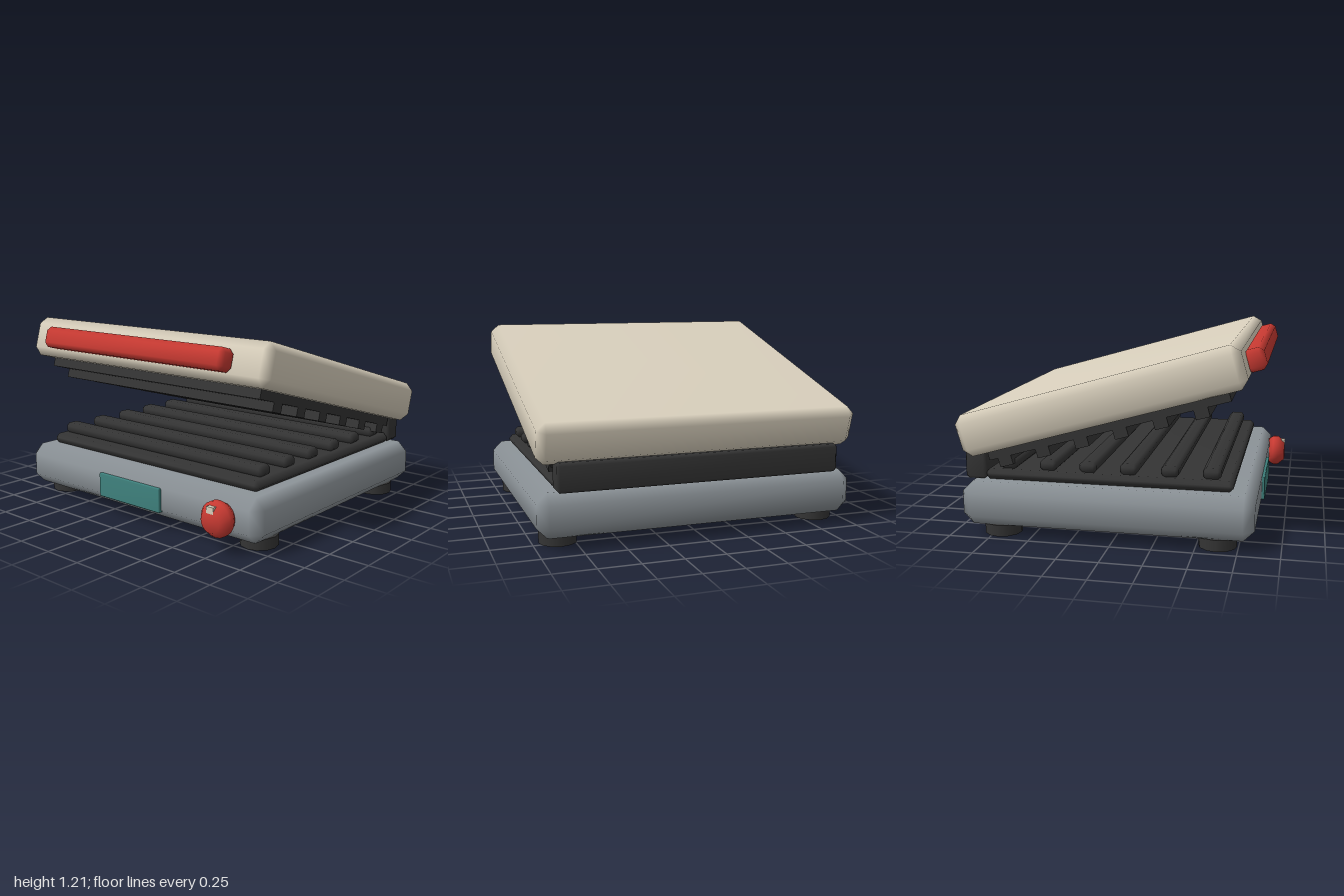
import * as THREE from 'three';
import { mergeVertices } from 'three/addons/utils/BufferGeometryUtils.js';
import { ConvexGeometry } from 'three/addons/geometries/ConvexGeometry.js';

const material = (name, color) => {
  const m = new THREE.MeshStandardMaterial({ color });
  m.name = name;
  return m;
};

// Box with single-step chamfers and soft, area-weighted normals
function chamferBox(w, h, d, c) {
  const points = [];
  for (const x of [-1, 1]) for (const y of [-1, 1]) for (const z of [-1, 1]) {
    for (const [a, b, e] of [[0, c, c], [c, 0, c], [c, c, 0]]) {
      points.push(new THREE.Vector3(x * (w / 2 - a), y * (h / 2 - b), z * (d / 2 - e)));
    }
  }
  const hull = new ConvexGeometry(points);
  hull.deleteAttribute('normal');
  const geometry = mergeVertices(hull, 1e-5);
  geometry.computeVertexNormals();
  return geometry;
}

export function createModel() {
  const cream = material('cream', 0xd8cfbc);
  const grey = material('grey', 0x8d9499);
  const dark = material('charcoal', 0x343434);
  const red = material('red', 0xc83a32);
  const teal = material('teal', 0x3f827e);

  const model = new THREE.Group();
  model.name = 'contactGrill';

  const add = (parent, name, geometry, mat, x, y, z) => {
    const mesh = new THREE.Mesh(geometry, mat);
    mesh.name = name;
    mesh.position.set(x, y, z);
    parent.add(mesh);
    return mesh;
  };

  // Lower body, heating plate and its ribs
  add(model, 'base', chamferBox(2, 0.27, 1.775, 0.064), grey, 0, 0.203, -0.041);
  add(model, 'lowerPlate', chamferBox(1.78, 0.07, 1.515, 0.025), dark, 0, 0.368, -0.043);
  const lowerRib = chamferBox(1.72, 0.07, 0.107, 0.02);
  for (let i = 0; i < 6; i++) {
    add(model, 'lowerRib', lowerRib, dark, 0, 0.434, 0.585 - i * 0.249);
  }

  // Feet
  const foot = new THREE.CylinderGeometry(0.115, 0.115, 0.07, 12);
  for (const x of [-0.845, 0.845]) for (const z of [0.626, -0.705]) {
    add(model, 'foot', foot, dark, x, 0.035, z);
  }

  // Hinge block along the rear edge
  add(model, 'hinge', chamferBox(1.78, 0.175, 0.133, 0.018), dark, 0, 0.425, -0.861);

  // Display on the front
  add(model, 'display', chamferBox(0.53, 0.155, 0.04, 0.006), teal, 0, 0.193, 0.846);

  // Control knob turned around z, with its pointer
  const knob = new THREE.Group();
  knob.name = 'knob';
  knob.position.set(0.75, 0.203, 0.84);
  model.add(knob);
  const profile = [[0, 0], [0.088, 0], [0.108, 0.035], [0.108, 0.07], [0.068, 0.118], [0, 0.118]]
    .map(([r, h]) => new THREE.Vector2(r, h));
  const body = add(knob, 'knobBody', new THREE.LatheGeometry(profile, 20), red, 0, 0, 0);
  body.rotation.x = Math.PI / 2;
  add(knob, 'knobPointer', new THREE.BoxGeometry(0.05, 0.04, 0.04), cream, 0, 0.067, 0.1);

  // Raised lid with handle, heating plate and ribs
  const lid = new THREE.Group();
  lid.name = 'lid';
  lid.position.set(0, 0.85, -0.083);
  lid.rotation.x = -THREE.MathUtils.degToRad(16);
  model.add(lid);
  add(lid, 'lidShell', chamferBox(2, 0.262, 1.77, 0.05), cream, 0, 0, 0);
  add(lid, 'handle', chamferBox(1.52, 0.135, 0.125, 0.028), red, 0, -0.01, 0.928);
  add(lid, 'upperPlate', new THREE.BoxGeometry(1.78, 0.08, 1.52), dark, 0, -0.148, -0.005);
  const upperRib = new THREE.BoxGeometry(1.78, 0.07, 0.085);
  for (let i = 0; i < 6; i++) {
    add(lid, 'upperRib', upperRib, dark, 0, -0.21, 0.572 - i * 0.248);
  }

  return model;
}
